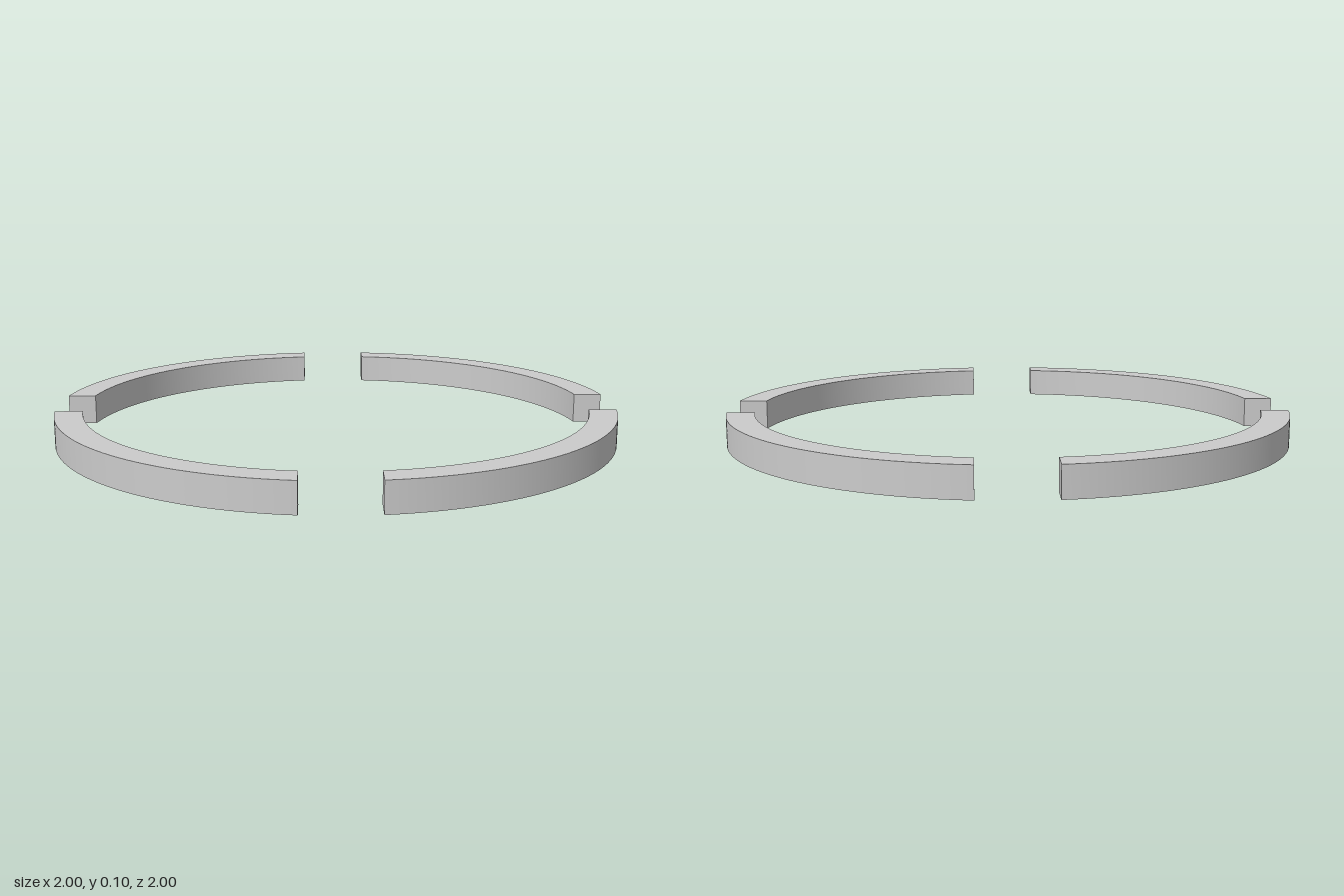
import * as THREE from 'three';
import { toCreasedNormals } from 'three/addons/utils/BufferGeometryUtils.js';

const GAP = 0.125;     // half width of the gaps between segments
const HEIGHT = 0.105;
const OUTER = Math.hypot(1, GAP);
const INNER = Math.hypot(0.9, GAP);

// One quarter of the ring, its ends cut parallel to the axes
function segmentGeometry() {
  const a = Math.asin(GAP / OUTER);
  const b = Math.asin(GAP / INNER);
  const shape = new THREE.Shape();
  shape.absarc(0, 0, OUTER, a, Math.PI / 2 - a, false);
  shape.absarc(0, 0, INNER, Math.PI / 2 - b, b, true);
  shape.closePath();
  const geometry = new THREE.ExtrudeGeometry(shape, {
    depth: HEIGHT, bevelEnabled: false, curveSegments: 48,
  });
  geometry.rotateX(-Math.PI / 2);
  return toCreasedNormals(geometry, 0.5);
}

export function createModel() {
  const group = new THREE.Group();
  group.name = 'segmentedRing';
  const material = new THREE.MeshStandardMaterial({ color: 0xcccccc });
  const geometry = segmentGeometry();

  // Four equal segments around the y axis
  const names = ['backLeft', 'backRight', 'frontRight', 'frontLeft'];
  names.forEach((name, i) => {
    const segment = new THREE.Mesh(geometry, material);
    segment.name = name + 'Segment';
    segment.rotation.y = i * Math.PI / 2;
    group.add(segment);
  });
  return group;
}
